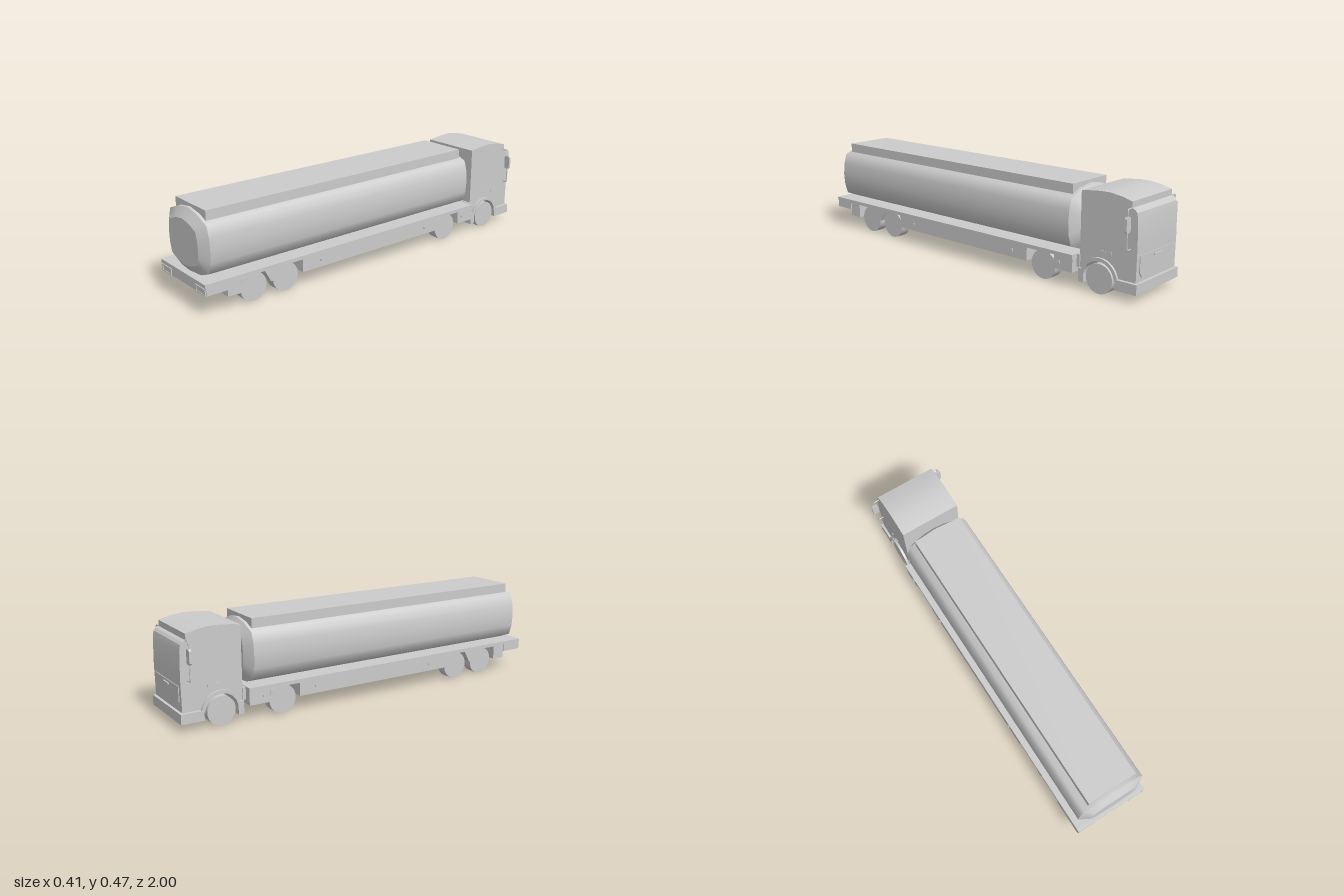
import * as THREE from 'three';
import { toCreasedNormals } from 'three/addons/utils/BufferGeometryUtils.js';

export function createModel() {
  const model = new THREE.Group();
  model.name = 'tankerTruck';
  const grey = new THREE.MeshStandardMaterial({ color: 0xcccccc });
  const sides = [-1, 1];

  function add(name, geometry, parent = model) {
    const mesh = new THREE.Mesh(geometry, grey);
    mesh.name = name;
    parent.add(mesh);
    return mesh;
  }

  // Box given by its limits on each axis
  function box(name, x0, x1, y0, y1, z0, z1, parent) {
    const g = new THREE.BoxGeometry(Math.abs(x1 - x0), y1 - y0, z1 - z0);
    g.translate((x0 + x1) / 2, (y0 + y1) / 2, (z0 + z1) / 2);
    return add(name, g, parent);
  }

  // Side profile drawn in (-z, y), extruded across x
  function sideProfile(shape, x0, x1) {
    const g = new THREE.ExtrudeGeometry(shape, { depth: x1 - x0, bevelEnabled: false, curveSegments: 20 });
    return g.rotateY(Math.PI / 2).translate(x0, 0, 0);
  }

  // ---- Tank: 16-sided squarish oval, mirrored from one quarter ----
  const quarter = [[0.18, 0], [0.175, 0.059], [0.159, 0.111], [0.08, 0.143]];
  const oval = [
    ...quarter, [0, 0.156],
    ...quarter.slice(1).reverse().map(([x, y]) => [-x, y]), [-0.18, 0],
    ...quarter.slice(1).map(([x, y]) => [-x, -y]), [0, -0.156],
    ...quarter.slice(1).reverse().map(([x, y]) => [x, -y]),
  ];
  const tankY = 0.298;

  // Band between two scaled copies of the oval (z0 > z1)
  function band(z0, s0, z1, s1) {
    const pos = [], index = [], n = oval.length;
    for (const [z, s] of [[z0, s0], [z1, s1]])
      for (const [x, y] of oval) pos.push(x * s, tankY + y * s, z);
    for (let i = 0; i < n; i++) {
      const j = (i + 1) % n;
      index.push(i, n + i, j, j, n + i, n + j);
    }
    const g = new THREE.BufferGeometry();
    g.setAttribute('position', new THREE.Float32BufferAttribute(pos, 3));
    g.setIndex(index);
    g.computeVertexNormals();
    return g;
  }
  const tank = new THREE.Group();
  tank.name = 'tank';
  model.add(tank);
  add('tankShell', band(0.955, 1, -0.635, 1), tank);
  add('tankRearRim', band(0.985, 0.705, 0.955, 1), tank);
  add('tankFrontRim', band(-0.635, 1, -0.665, 0.705), tank);
  const capShape = new THREE.Shape(oval.map(([x, y]) => new THREE.Vector2(x * 0.705, y * 0.705)));
  add('tankRearCap', new THREE.ShapeGeometry(capShape).translate(0, tankY, 0.985), tank);
  add('tankFrontCap', new THREE.ShapeGeometry(capShape).rotateY(Math.PI).translate(0, tankY, -0.665), tank);
  box('tankWalkway', -0.13, 0.13, 0.415, 0.468, -0.62, 0.94, tank);

  // ---- Chassis ----
  box('deck', -0.195, 0.195, 0.142, 0.16, -0.672, 0.99);
  box('sideSkirtBlock', -0.19, 0.19, 0.075, 0.142, -0.405, 0.476);
  box('frontDeckBlock', -0.19, 0.19, 0.075, 0.142, -0.67, -0.565);
  box('rearDeckBlock', -0.19, 0.19, 0.07, 0.142, 0.815, 0.885);
  box('rearBumper', -0.195, 0.195, 0.105, 0.142, 0.885, 0.995);
  box('deckRearLip', -0.195, 0.195, 0.142, 0.16, 0.99, 1.0);
  box('chassisBeam', -0.085, 0.085, 0.1, 0.142, -0.72, 0.9);

  for (const s of sides) {
    // Rear lamp frames around recessed lenses
    const lamp = new THREE.Group();
    lamp.name = 'rearLamp';
    model.add(lamp);
    box('lampLens', s * 0.116, s * 0.184, 0.11, 0.133, 0.994, 0.997, lamp);
    for (const [y0, y1] of [[0.105, 0.11], [0.133, 0.138]])
      box('lampFrame', s * 0.109, s * 0.191, y0, y1, 0.994, 1.0, lamp);
    for (const x of [0.109, 0.185])
      box('lampFrame', s * x, s * (x + 0.006), 0.11, 0.133, 0.994, 1.0, lamp);
    for (const z of [-0.6, -0.32, 0.36])
      box('sideMarker', s * 0.188, s * 0.196, 0.105, 0.117, z, z + 0.012);
    // Tapered mudguard between the two rear wheels
    const guard = new THREE.Shape();
    guard.moveTo(-0.69, 0.142);
    guard.lineTo(-0.656, 0.08);
    guard.lineTo(-0.642, 0.08);
    guard.lineTo(-0.608, 0.142);
    add('mudguard', sideProfile(guard, s > 0 ? 0.112 : -0.19, s > 0 ? 0.19 : -0.112));
  }

  // ---- Wheels and axles ----
  for (const z of [0.737, 0.56, -0.487, -0.8]) {
    for (const s of sides) {
      const wheel = new THREE.CylinderGeometry(0.07, 0.07, 0.055, 28).rotateZ(Math.PI / 2);
      add('wheel', wheel.translate(s * 0.1395, 0.07, z));
    }
    box('axle', -0.115, 0.115, 0.06, 0.08, z - 0.012, z + 0.012);
    box('axleHousing', -0.043, 0.043, 0.048, 0.1, z - 0.025, z + 0.025);
  }

  // ---- Cab ----
  const cab = new THREE.Group();
  cab.name = 'cab';
  model.add(cab);
  const body = new THREE.Shape();
  body.moveTo(0.69, 0.09);
  body.lineTo(0.717, 0.09);
  body.absarc(0.8, 0.07, 0.085, Math.PI - 0.238, 0.238, true);
  for (const [s, y] of [[0.985, 0.09], [0.987, 0.25], [0.984, 0.37], [0.979, 0.4], [0.968, 0.412],
    [0.953, 0.418], [0.953, 0.447], [0.9, 0.46], [0.84, 0.468], [0.79, 0.467], [0.73, 0.461], [0.69, 0.455]])
    body.lineTo(s, y);
  body.closePath();
  add('cabBody', toCreasedNormals(sideProfile(body, -0.16, 0.16), 0.3), cab);
  box('cabBumper', -0.172, 0.172, 0.04, 0.088, -0.997, -0.885, cab);
  box('cabRearSill', -0.172, 0.172, 0.037, 0.1, -0.718, -0.69, cab);
  box('cabRearLedge', -0.165, 0.165, 0.1, 0.16, -0.692, -0.676, cab);

  // Front panel, wider at its top
  const panel = new THREE.Shape();
  [[-0.12, 0.108], [0.12, 0.108], [0.138, 0.135], [0.138, 0.21], [-0.138, 0.21], [-0.138, 0.135]]
    .forEach(([x, y], i) => (i ? panel.lineTo(x, y) : panel.moveTo(x, y)));
  const panelGeo = new THREE.ExtrudeGeometry(panel, { depth: 0.006, bevelEnabled: false });
  add('frontPanel', panelGeo.translate(0, 0, -0.99), cab);
  box('frontPanelHandle', -0.03, 0.03, 0.19, 0.198, -0.996, -0.986, cab);

  // Chamfered mirror outline
  const mirror = new THREE.Shape();
  [[-0.016, -0.028], [-0.009, -0.035], [0.009, -0.035], [0.016, -0.028],
    [0.016, 0.028], [0.009, 0.035], [-0.009, 0.035], [-0.016, 0.028]]
    .forEach(([x, y], i) => (i ? mirror.lineTo(x, y) : mirror.moveTo(x, y)));

  for (const s of sides) {
    // Wheel arch flare
    const flare = new THREE.Shape();
    flare.absarc(0.8, 0.07, 0.098, 0.1, Math.PI - 0.1, false);
    flare.absarc(0.8, 0.07, 0.082, Math.PI - 0.1, 0.1, true);
    flare.closePath();
    add('archFlare', toCreasedNormals(sideProfile(flare, s > 0 ? 0.14 : -0.172, s > 0 ? 0.172 : -0.14), 0.5), cab);
    box('doorHandle', s * 0.158, s * 0.164, 0.195, 0.203, -0.825, -0.8, cab);
    box('doorStep', s * 0.158, s * 0.164, 0.19, 0.204, -0.86, -0.854, cab);

    // Mirror and its bent tube bracket
    const path = new THREE.CurvePath();
    const p = [[0.155, 0.418], [0.186, 0.418], [0.191, 0.413], [0.191, 0.241], [0.186, 0.236], [0.155, 0.236]]
      .map(([x, y]) => new THREE.Vector3(s * x, y, -0.953));
    for (let i = 0; i < p.length - 1; i++) path.add(new THREE.LineCurve3(p[i], p[i + 1]));
    add('mirrorBracket', new THREE.TubeGeometry(path, 80, 0.003, 6), cab);
    const mirrorGeo = new THREE.ExtrudeGeometry(mirror, { depth: 0.012, bevelEnabled: false });
    add('mirror', mirrorGeo.translate(s * 0.191, 0.35, -0.959), cab);
  }
  return model;
}
